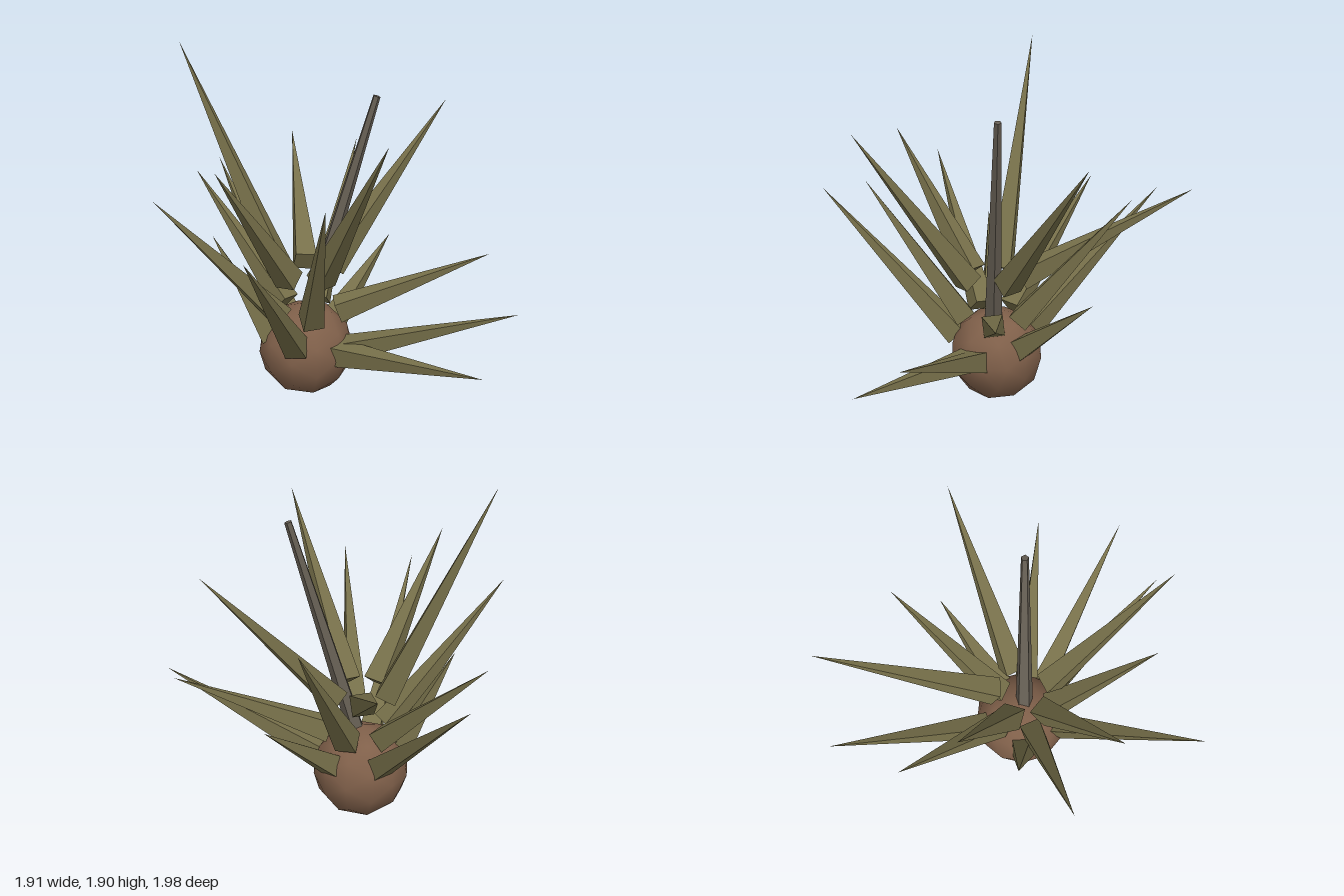
import * as THREE from 'three';

const mat = (name, color, flatShading) => {
  const m = new THREE.MeshStandardMaterial({ color, flatShading });
  m.name = name;
  return m;
};

export function createModel() {
  const group = new THREE.Group();
  const olive = mat('olive leaf', 0x77704a, true);
  const brown = mat('brown bulb', 0x80604a, false);
  const grey = mat('grey stalk', 0x665f54, true);
  const cx = -0.2; // plant axis

  const add = (name, geo, material) => {
    const mesh = new THREE.Mesh(geo, material);
    mesh.name = name;
    group.add(mesh);
    return mesh;
  };

  // Tapered part running from base to tip
  const spike = (name, base, tip, r0, r1, sides, roll, material) => {
    const len = base.distanceTo(tip);
    const geo = r1 > 0
      ? new THREE.CylinderGeometry(r1, r0, len, sides)
      : new THREE.ConeGeometry(r0, len, sides);
    geo.rotateY(roll).translate(0, len / 2, 0).rotateX(Math.PI / 2);
    const mesh = add(name, geo, material);
    mesh.position.copy(base);
    mesh.lookAt(tip);
  };

  // Round bulb
  add('bulb', new THREE.IcosahedronGeometry(0.258, 1), brown).position.set(-0.215, 0.256, -0.015);

  // Leaning flower stalk
  spike('stalk', new THREE.Vector3(-0.2, 0.42, 0), new THREE.Vector3(0.14, 1.65, -0.135),
    0.05, 0.02, 5, 0, grey);

  // Leaves in three tiers: base radius, base height, then the tips
  const tiers = [
    { name: 'lowerLeaf', r: 0.2, y: 0.31, tips: [
      [0.95, 0.62, 0.08], [0.83, 0.38, 0.38], [-0.19, 1.11, 0.99],
      [-0.66, 0.92, 0.18], [-0.96, 1.06, -0.72], [0.09, 0.72, -0.63]] },
    { name: 'middleLeaf', r: 0.16, y: 0.48, tips: [
      [0.09, 1.27, 0.61], [-0.82, 1.21, 0.55], [-0.95, 1.10, -0.34],
      [-0.14, 1.23, -0.76], [0.72, 0.78, -0.32]] },
    { name: 'upperLeaf', r: 0.15, y: 0.7, tips: [
      [0.38, 1.59, 0.55], [-0.45, 1.42, 0.65], [-0.88, 1.90, 0],
      [-0.60, 1.18, -0.99], [0.39, 1.52, -0.67]] },
  ];
  for (const { name, r, y, tips } of tiers) {
    for (const [tx, ty, tz] of tips) {
      const a = Math.atan2(tz, tx - cx);
      // flatter leaves sit a little lower
      const drop = name === 'lowerLeaf' ? (ty < 0.7 ? -0.03 : 0.03) : 0;
      const base = new THREE.Vector3(cx + r * Math.cos(a), y + drop, r * Math.sin(a));
      spike(name, base, new THREE.Vector3(tx, ty, tz), 0.08, 0, 4, Math.PI / 4 + 0.12, olive);
    }
  }
  return group;
}
